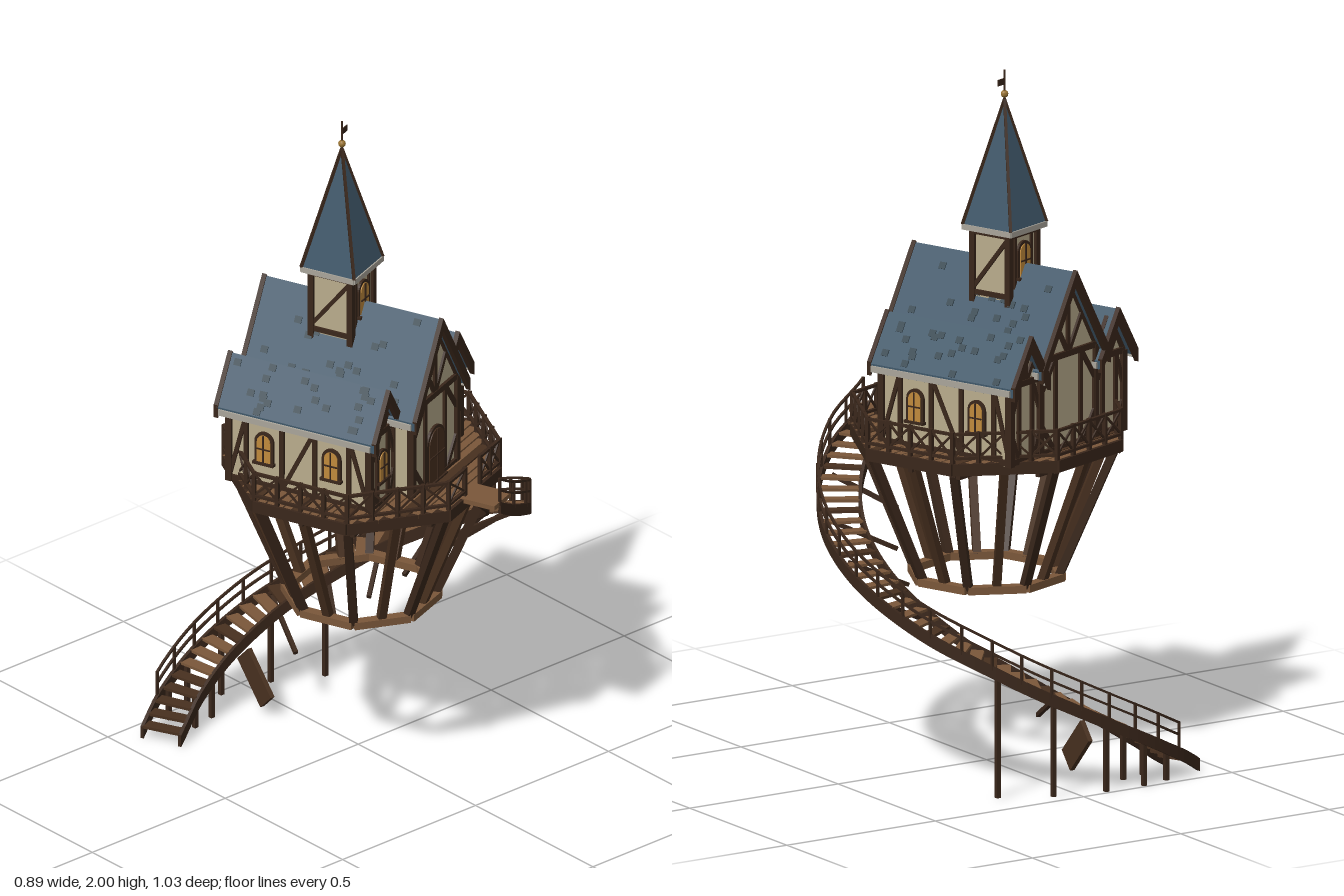
import * as THREE from 'three';

const mat = (color) => new THREE.MeshStandardMaterial({ color, flatShading: true });
const M = {
  timber: mat(0x3a271b), wood: mat(0x7a573a), darkWood: mat(0x48301f), plaster: mat(0xb9ac8c),
  slate: mat(0x40586a), darkSlate: mat(0x33454f), trim: mat(0xaaa59a), glass: mat(0xc08a3c), brass: mat(0x9a7433),
};
const V = (x, y, z) => new THREE.Vector3(x, y, z);
let seed = 7;
const rand = () => (seed = (seed * 16807) % 2147483647) / 2147483647;

function add(parent, name, geometry, material, x = 0, y = 0, z = 0) {
  const m = new THREE.Mesh(geometry, material);
  m.name = name;
  m.position.set(x, y, z);
  parent.add(m);
  return m;
}
const box = (p, name, w, h, d, m, x, y, z) => add(p, name, new THREE.BoxGeometry(w, h, d), m, x, y, z);

// Rectangular timber running from a to b
function beam(p, name, a, b, w, h, m = M.timber) {
  const o = box(p, name, w, h, a.distanceTo(b), m, 0, 0, 0);
  o.position.copy(a).add(b).multiplyScalar(0.5);
  o.quaternion.setFromRotationMatrix(new THREE.Matrix4().lookAt(b, a, V(0, 1, 0)));
  return o;
}
// Polygon in the xy plane pulled from z0 to z1
function prism(p, name, pts, z0, z1, m) {
  const s = new THREE.Shape(pts.map(([x, y]) => new THREE.Vector2(x, y)));
  return add(p, name, new THREE.ExtrudeGeometry(s, { depth: z1 - z0, bevelEnabled: false }), m, 0, 0, z0);
}

// Arched window or door lying on a wall that faces rotY
function opening(p, name, x, y, z, rotY, w, h, fill) {
  const g = new THREE.Group();
  g.name = name;
  g.position.set(x, y, z);
  g.rotation.y = rotY;
  p.add(g);
  const arch = (r, top, depth, m, part) => {
    const s = new THREE.Shape();
    s.moveTo(-r, 0).lineTo(r, 0).lineTo(r, top - r).absarc(0, top - r, r, 0, Math.PI, false).lineTo(-r, 0);
    add(g, part, new THREE.ExtrudeGeometry(s, { depth, bevelEnabled: false, curveSegments: 8 }), m);
  };
  arch(w / 2 + 0.009, h + 0.009, 0.008, M.timber, 'openingFrame');
  arch(w / 2, h, 0.011, fill, 'openingPanel');
  box(g, 'mullion', 0.004, h, 0.004, M.timber, 0, h / 2, 0.012);
  box(g, 'crossbar', w, 0.004, 0.004, M.timber, 0, h * 0.5, 0.012);
  box(g, 'sill', w + 0.025, 0.008, 0.016, M.timber, 0, -0.003, 0.008);
}

// Gabled roof: slate chevron, dark barge boards, pale eaves and darker slates
function gableRoof(p, cx, hw, ridge, eave, z0, z1) {
  const chevron = (t, d) => [[cx - hw, eave + d], [cx, ridge + d], [cx + hw, eave + d],
    [cx + hw, eave + d - t], [cx, ridge + d - t], [cx - hw, eave + d - t]].reverse();
  prism(p, 'roofSlates', chevron(0.025, 0), z0, z1, M.slate);
  for (const z of [z0, z1]) prism(p, 'bargeBoard', chevron(0.04, 0.005), z - 0.007, z + 0.007, M.timber);
  const rise = ridge - eave, len = Math.hypot(rise, hw);
  for (const s of [-1, 1]) {
    box(p, 'eaveTrim', 0.012, 0.018, z1 - z0 - 0.02, M.trim, cx + s * hw, eave - 0.014, (z0 + z1) / 2);
    for (let i = 0; i < 22; i++) {
      const t = 0.08 + 0.84 * rand(), z = z0 + 0.03 + (z1 - z0 - 0.06) * rand();
      box(p, 'darkSlate', 0.02, 0.003, 0.022, M.darkSlate, cx + s * (hw * t + rise / len * 0.001),
        ridge - rise * t + hw / len * 0.001, z).rotation.z = -s * Math.atan2(rise, hw);
    }
  }
}

// Plastered gabled block with timber framing on both gable ends
function gableBlock(p, name, cx, hw, shoulder, apex, z0, z1) {
  const b = 0.93;
  prism(p, name, [[cx - hw, b], [cx + hw, b], [cx + hw, shoulder], [cx, apex], [cx - hw, shoulder]], z0, z1, M.plaster);
  for (const z of [z0, z1]) {
    const bar = (x1, y1, x2, y2, w = 0.014) => beam(p, 'gableTimber', V(cx + x1, y1, z), V(cx + x2, y2, z), w, w);
    const mid = (shoulder + apex) / 2;
    for (const s of [-1, 1]) {
      bar(s * hw, b, s * hw, shoulder, 0.02);
      bar(s * hw * 0.45, b, s * hw * 0.45, shoulder);
      bar(s * hw, shoulder - 0.1, s * hw * 0.45, shoulder);
      bar(s * hw, b + 0.1, s * hw * 0.45, b);
      bar(s * hw, shoulder, 0, apex);
      bar(s * hw * 0.5, mid, 0, shoulder);
    }
    bar(-hw, shoulder, hw, shoulder, 0.018);
    bar(-hw, b + 0.012, hw, b + 0.012, 0.018);
    bar(0, shoulder, 0, apex);
  }
}

function railing(p, a, b, n) {
  const H = 0.085, at = (t, y) => a.clone().lerp(b, t).setY(a.y + y);
  for (const y of [0.015, H]) beam(p, 'deckRail', at(0, y), at(1, y), 0.01, 0.008);
  for (let i = 0; i <= n; i++) {
    beam(p, 'deckRailPost', at(i / n, 0), at(i / n, H + 0.006), 0.011, 0.011);
    if (i === n) break;
    beam(p, 'railCross', at(i / n, 0.015), at((i + 1) / n, H), 0.005, 0.006);
    beam(p, 'railCross', at(i / n, H), at((i + 1) / n, 0.015), 0.005, 0.006);
  }
}

function buildPlatform(p) {
  const R = 0.39, inR = R * Math.cos(Math.PI / 8), half = R * Math.sin(Math.PI / 8);
  const corner = (k, r, y) => V(r * Math.sin((k - 0.5) * Math.PI / 4), y, r * Math.cos((k - 0.5) * Math.PI / 4));
  for (let k = 0; k < 8; k++) {
    const [a, b] = [corner(k, R, 0.922), corner(k + 1, R, 0.922)];
    beam(p, 'deckRim', a, b, 0.016, 0.035);
    beam(p, 'lowerRing', corner(k, 0.215, 0.528), corner(k + 1, 0.215, 0.528), 0.03, 0.022, M.wood);
    // splayed stilts at the corners and halfway between
    const top = [corner(k, 0.375, 0.915), corner(k, 0.375, 0.915).lerp(corner(k + 1, 0.375, 0.915), 0.5)];
    const low = [corner(k, 0.21, 0.53), corner(k, 0.21, 0.53).lerp(corner(k + 1, 0.21, 0.53), 0.5)];
    top.forEach((t, i) => beam(p, 'stilt', low[i], t, 0.023, 0.023, i ? M.darkWood : M.timber));
    beam(p, 'radialJoist', corner(k, 0.02, 0.91), corner(k, R, 0.91), 0.014, 0.02);
    a.y = b.y = 0.94;
    if (k) railing(p, a, b, 4);
    else { // opening for the stair
      railing(p, a, a.clone().lerp(b, 0.32), 1);
      railing(p, a.clone().lerp(b, 0.62), b, 2);
    }
  }
  const reach = (v) => Math.min(inR, half + inR - Math.abs(v));
  // deck boards, left out beneath the house
  const n = 26, step = 2 * inR / n;
  for (let i = 0; i < n; i++) {
    const z = -inR + (i + 0.5) * step, w = reach(z);
    const inner = z < -0.28 || z > 0.235 ? 0 : z > 0.17 ? 0.125 : 0.262;
    for (const s of [-1, 1])
      box(p, 'deckBoard', w - inner, 0.012, step * 0.82, i % 5 === 2 ? M.darkWood : M.wood, s * (w + inner) / 2, 0.934, z);
  }
  for (let i = -4; i <= 4; i++) {
    const x = i * 0.08;
    box(p, 'joist', 0.014, 0.022, 2 * reach(x), M.timber, x, 0.915, 0);
    if (i % 2 === 0) box(p, 'crossJoist', 2 * reach(x), 0.018, 0.014, M.timber, 0, 0.902, x);
  }
}

function buildHouse(p) {
  gableBlock(p, 'mainHall', 0, 0.13, 1.21, 1.425, -0.283, 0.232);
  gableRoof(p, 0, 0.158, 1.45, 1.19, -0.312, 0.256);
  opening(p, 'frontDoor', 0, 0.94, 0.232, 0, 0.085, 0.16, M.darkWood);
  for (const s of [-1, 1]) {
    gableBlock(p, 'sideWing', s * 0.196, 0.068, 1.165, 1.275, -0.28, 0.17);
    gableRoof(p, s * 0.205, 0.085, 1.3, 1.165, -0.31, 0.197);
    opening(p, 'wingWindow', s * 0.2, 1.015, 0.17, 0, 0.042, 0.085, M.glass);
    const x = s * 0.264;
    for (const z of [0.05, -0.166]) opening(p, 'sideWindow', x, 1.015, z, s * Math.PI / 2, 0.042, 0.085, M.glass);
    // side wall framing
    for (const z of [-0.225, -0.11, -0.005, 0.105]) beam(p, 'sidePost', V(x, 0.93, z), V(x, 1.165, z), 0.014, 0.014);
    for (const y of [0.942, 1.155]) beam(p, 'sidePlate', V(x, y, -0.28), V(x, y, 0.17), 0.016, 0.016);
    beam(p, 'sideBrace', V(x, 0.94, 0.17), V(x, 1.15, 0.105), 0.012, 0.012);
    beam(p, 'sideBrace', V(x, 0.94, -0.11), V(x, 1.15, -0.005), 0.012, 0.012);
    beam(p, 'sideBrace', V(x, 0.94, -0.28), V(x, 1.15, -0.225), 0.012, 0.012);
  }
}

function buildTower(p) {
  const t = new THREE.Group();
  t.name = 'tower';
  t.position.z = -0.063;
  p.add(t);
  const h = 0.063;
  box(t, 'towerWalls', 2 * h, 0.35, 2 * h, M.plaster, 0, 1.375, 0);
  for (let k = 0; k < 4; k++) {
    const side = new THREE.Group();
    side.name = 'towerSide';
    side.rotation.y = k * Math.PI / 2;
    t.add(side);
    beam(side, 'towerPost', V(h, 1.22, h), V(h, 1.55, h), 0.018, 0.018);
    for (const y of [1.36, 1.535]) beam(side, 'towerPlate', V(-h, y, h), V(h, y, h), 0.014, 0.014);
    beam(side, 'eaveTrim', V(-0.085, 1.548, 0.083), V(0.085, 1.548, 0.083), 0.01, 0.016, M.trim);
    beam(side, 'hipBoard', V(0.085, 1.555, 0.085), V(0, 1.915, 0), 0.008, 0.008);
    if (k % 2) beam(side, 'towerBrace', V(-h, 1.37, h), V(h, 1.53, h), 0.012, 0.012);
    else {
      opening(side, 'towerWindow', 0, 1.41, h, 0, 0.045, 0.095, M.glass);
      for (const s of [-1, 1]) beam(side, 'towerStud', V(s * 0.038, 1.36, h), V(s * 0.038, 1.53, h), 0.01, 0.01);
    }
  }
  const spire = add(t, 'spire', new THREE.ConeGeometry(0.12, 0.365, 4), M.slate, 0, 1.735, 0);
  spire.rotation.y = Math.PI / 4;
  add(t, 'finialBall', new THREE.SphereGeometry(0.011, 10, 8), M.brass, 0, 1.93, 0);
  add(t, 'flagPole', new THREE.CylinderGeometry(0.003, 0.003, 0.1, 6), M.timber, 0, 1.95, 0);
  box(t, 'flag', 0.03, 0.018, 0.003, M.timber, 0.016, 1.967, 0);
}

function buildStair(p) {
  const path = new THREE.CatmullRomCurve3([[0.06, 0.455], [0.18, 0.41], [0.293, 0.308], [0.37, 0.165], [0.391, 0.012],
    [0.364, -0.126], [0.288, -0.26], [0.174, -0.352], [0.03, -0.422], [-0.141, -0.447], [-0.29, -0.425],
    [-0.41, -0.376]].map(([x, z]) => V(x, 0, z)));
  const out = (u) => { const t = path.getTangentAt(u); return V(-t.z, 0, t.x); };
  // point on the flight: u along it, o outward, dy above the treads
  const at = (u, o, dy) => path.getPointAt(u).addScaledVector(out(u), o).setY(0.93 - 0.905 * u + dy);

  // solid strip following the flight
  const sweep = (name, o0, o1, y0, y1, u0, u1, m) => {
    const n = 60, pos = [], idx = [0, 1, 2, 0, 2, 3];
    for (let i = 0; i <= n; i++) {
      const u = u0 + (u1 - u0) * i / n;
      for (const [o, y] of [[o0, y0], [o1, y0], [o1, y1], [o0, y1]]) pos.push(...at(u, o, y).toArray());
      if (i < n) for (let j = 0; j < 4; j++) {
        const a = i * 4 + j, b = i * 4 + (j + 1) % 4;
        idx.push(a, a + 4, b + 4, a, b + 4, b);
      }
    }
    const e = n * 4;
    idx.push(e, e + 2, e + 1, e, e + 3, e + 2);
    const g = new THREE.BufferGeometry();
    g.setAttribute('position', new THREE.Float32BufferAttribute(pos, 3));
    g.setIndex(idx);
    g.computeVertexNormals();
    add(p, name, g, m);
  };
  for (const s of [-1, 1]) sweep('stringer', s * 0.059 - 0.005, s * 0.059 + 0.005, -0.025, 0.012, 0, 1, M.timber);
  for (const y of [0.045, 0.08]) sweep('stairRail', 0.056, 0.063, y, y + 0.007, 0, 0.94, M.timber);

  const n = 42;
  for (let i = 0; i < n; i++) {
    const u = (i + 0.5) / n, o = out(u), c = at(u, 0, 0);
    box(p, 'tread', 0.114, 0.008, 0.038, i % 4 === 1 || i > n - 5 ? M.darkWood : M.wood, c.x, c.y, c.z)
      .rotation.y = Math.atan2(-o.z, o.x);
  }
  for (let i = 0; i <= 20; i++) beam(p, 'stairRailPost', at(i * 0.047, 0.06, 0), at(i * 0.047, 0.06, 0.086), 0.007, 0.007);
  // posts to the ground
  for (const u of [0.62, 0.71, 0.8, 0.87, 0.92])
    for (const o of u > 0.85 ? [-0.045, 0.045] : [0.04]) beam(p, 'groundPost', at(u, o, 0).setY(0), at(u, o, -0.005), 0.013, 0.013);
  // struts leaning inward below the flight
  for (const u of [0.14, 0.24, 0.33, 0.43, 0.53, 0.62, 0.71])
    beam(p, 'stairStrut', at(u, 0.03, -0.012), at(u, -0.16, -0.1), 0.012, 0.012);
  beam(p, 'footBrace', V(-0.085, 0.05, -0.29), V(-0.075, 0.16, -0.4), 0.014, 0.07, M.darkWood);
  // landing against the deck edge
  box(p, 'landing', 0.1, 0.014, 0.125, M.wood, 0.075, 0.935, 0.448).rotation.y = Math.PI / 9;
}

export function createModel() {
  const root = new THREE.Group();
  root.name = 'stiltHouse';
  const house = new THREE.Group();
  house.name = 'houseOnPlatform';
  house.position.set(-0.04, 0, 0.06);
  house.rotation.y = Math.PI / 9;
  root.add(house);
  buildPlatform(house);
  buildHouse(house);
  buildTower(house);
  buildStair(root);
  return root;
}
